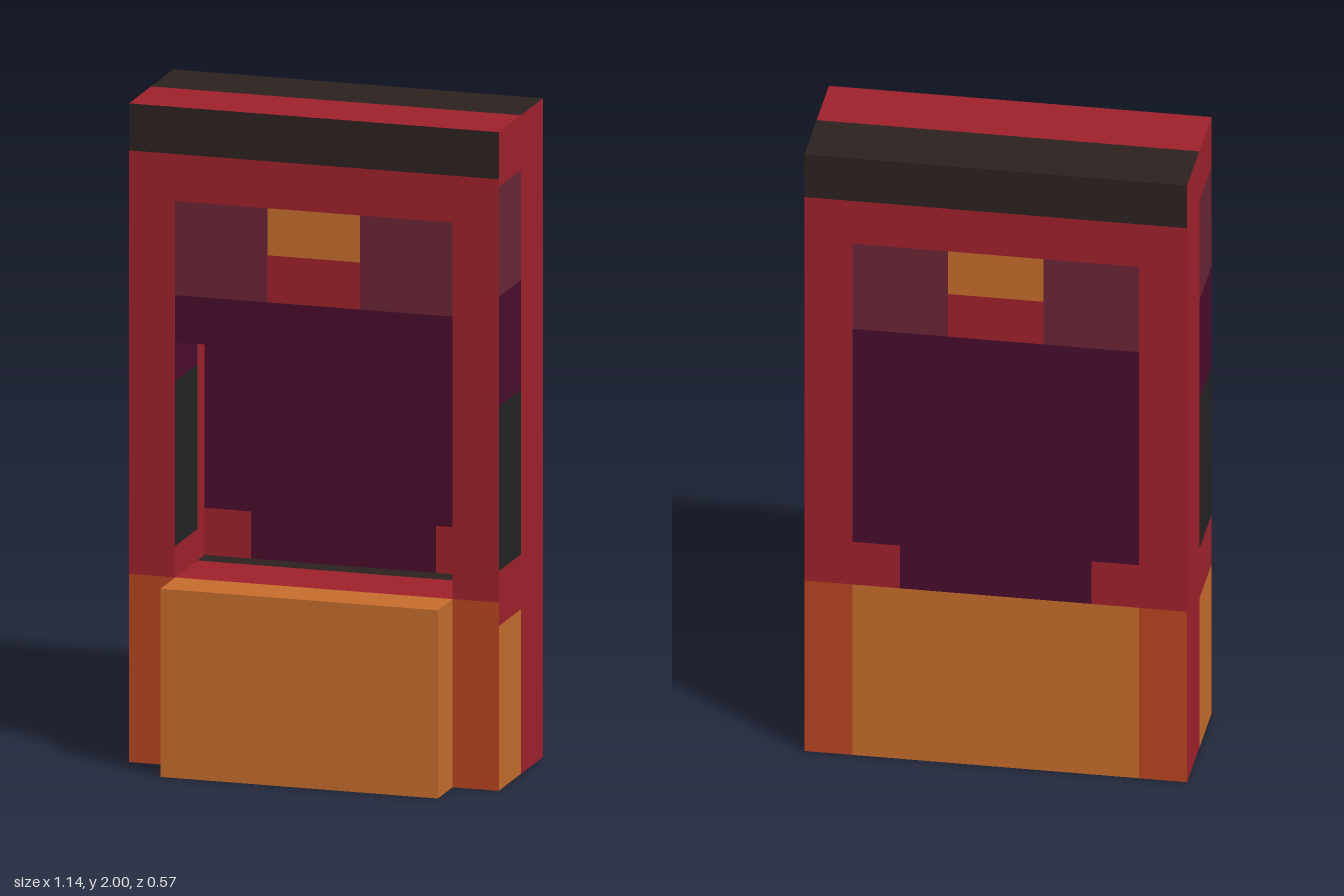
import * as THREE from 'three';
import { mergeGeometries } from 'three/addons/utils/BufferGeometryUtils.js';

const U = 1 / 7; // grid module: 8 wide, 14 tall, 3 + 1 deep

const material = (name, color) => {
  const m = new THREE.MeshStandardMaterial({ color });
  m.name = name;
  return m;
};

const TURN = {
  front: [0, 0], back: [0, Math.PI],
  right: [0, Math.PI / 2], left: [0, -Math.PI / 2],
  top: [-Math.PI / 2, 0], bottom: [Math.PI / 2, 0],
};

// One rectangle at depth d, facing the given way; a and b are spans along
// x,y (front/back), z,y (sides) or x,z (top/bottom), in grid units.
function tile(facing, d, a0, a1, b0, b1) {
  const g = new THREE.PlaneGeometry((a1 - a0) * U, (b1 - b0) * U);
  const [rx, ry] = TURN[facing];
  g.rotateX(rx).rotateY(ry);
  const a = (a0 + a1) / 2, b = (b0 + b1) / 2;
  const p = facing === 'front' || facing === 'back' ? [a, b, d]
    : facing === 'right' || facing === 'left' ? [d, b, a] : [a, d, b];
  return g.translate(...p.map((v) => v * U));
}

export function createModel() {
  const group = new THREE.Group();
  group.name = 'cabinet';
  const M = {
    red: material('crimson', 0x9f212c),
    dark: material('darkBrown', 0x2b2220),
    orange: material('orange', 0xc66c2b),
    rust: material('rust', 0xb84420),
    purple: material('deepPurple', 0x490c2c),
    maroon: material('maroon', 0x6a2535),
    black: material('charcoal', 0x222323),
  };

  // Joins tiles [colour, a0, a1, b0, b1] of a face into one mesh per colour.
  function face(name, facing, d, tiles) {
    const part = new THREE.Group();
    part.name = name;
    for (const key of new Set(tiles.map((t) => t[0]))) {
      const geos = tiles.filter((t) => t[0] === key).map((t) => tile(facing, d, ...t.slice(1)));
      const mesh = new THREE.Mesh(mergeGeometries(geos), M[key]);
      mesh.name = `${name} ${M[key].name}`;
      part.add(mesh);
    }
    group.add(part);
  }
  // A tile and its copy mirrored in x
  const pair = (c, a0, a1, b0, b1) => [[c, a0, a1, b0, b1], [c, -a1, -a0, b0, b1]];

  // Painted pattern shared by the front and the back
  const frame = [
    ['dark', -4, 4, 13, 14],
    ['red', -4, 4, 12, 13],
    ...pair('red', 3, 4, 4, 12),
    ...pair('rust', 3, 4, 0, 4),
    ...pair('maroon', 1, 3, 10, 12),
    ['orange', -1, 1, 11, 12],
    ['red', -1, 1, 10, 11],
    ['purple', -3, 3, 9, 10],
  ];
  const recess = [
    ['purple', -3, 3, 5, 9],
    ['purple', -2, 2, 4, 5],
    ...pair('red', 2, 3, 4, 5),
  ];
  face('frontFrame', 'front', 1, frame);
  face('alcoveBack', 'front', -1, recess);
  face('backPanel', 'back', -2, [...frame, ...recess, ['orange', -3, 3, 0, 4]]);

  // Side bands, clipped to the height range and depth of each wall
  const bands = [
    ['orange', 0, 3.5], ['red', 3.5, 14 / 3], ['black', 14 / 3, 49 / 6],
    ['purple', 49 / 6, 10.5], ['maroon', 10.5, 77 / 6], ['red', 77 / 6, 14],
  ];
  const SPLIT = -0.5;
  const wall = (y0, y1, zBack) => [
    ['red', zBack, SPLIT, y0, y1],
    ...bands.filter(([, b, t]) => t > y0 && b < y1)
      .map(([c, b, t]) => [c, SPLIT, 1, Math.max(b, y0), Math.min(t, y1)]),
  ];
  face('rightSide', 'right', 4, wall(0, 14, -2));
  face('leftSide', 'left', -4, wall(0, 14, -2));
  face('alcoveWallA', 'right', -3, wall(4, 9, -1));
  face('alcoveWallB', 'left', 3, wall(4, 9, -1));

  // Horizontal faces: dark behind, red in front
  const deck = (x, zBack) => [['dark', -x, x, zBack, SPLIT], ['red', -x, x, SPLIT, 1]];
  face('roof', 'top', 14, deck(4, -2));
  face('underside', 'bottom', 0, deck(4, -2));
  face('alcoveFloor', 'top', 4, deck(3, -1));
  face('alcoveCeiling', 'bottom', 9, deck(3, -1));

  // Projecting lower box
  const box = new THREE.Mesh(new THREE.BoxGeometry(6 * U, 4 * U, U), M.orange);
  box.name = 'frontBox';
  box.position.set(0, 2 * U, 1.5 * U);
  group.add(box);

  return group;
}
